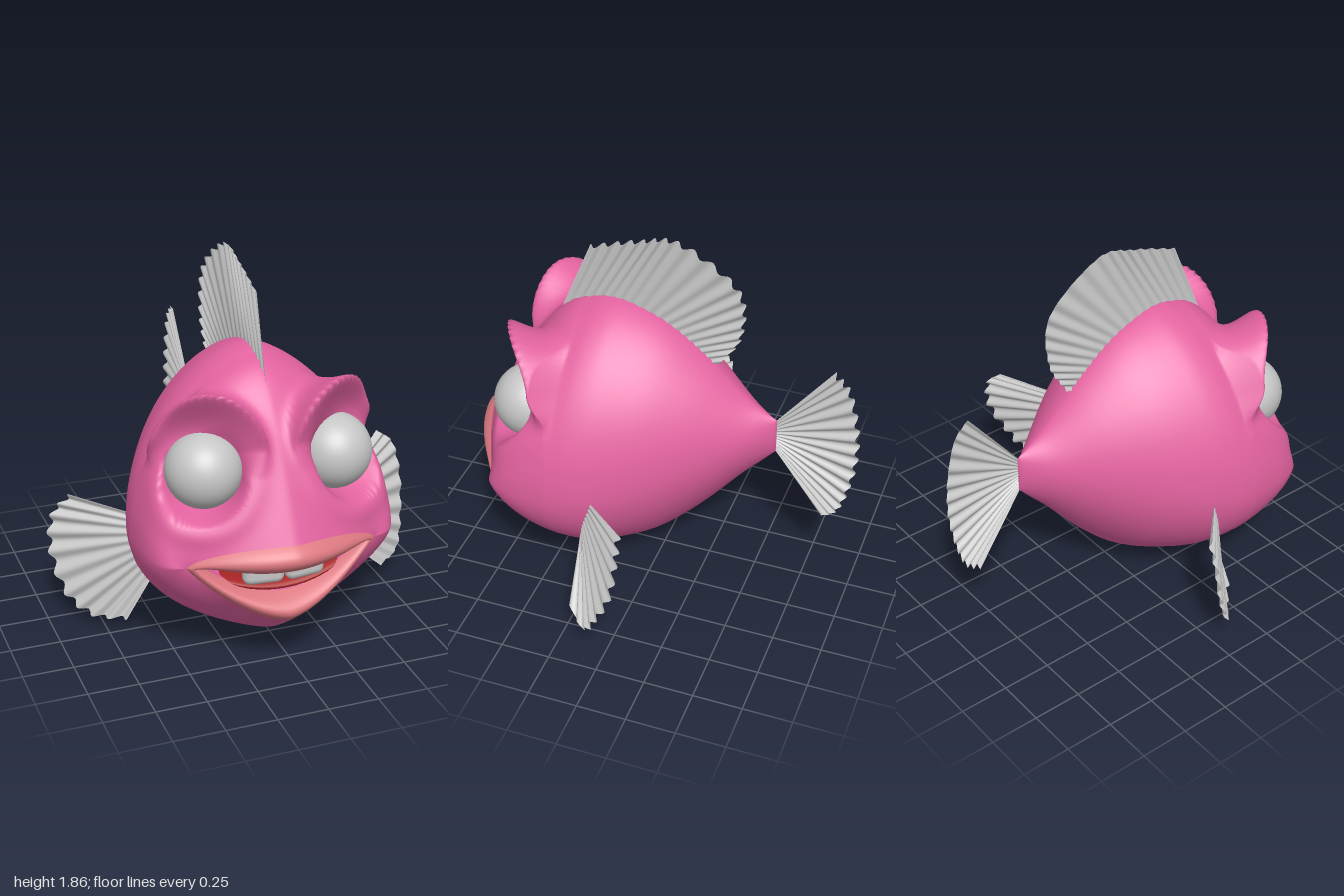
import * as THREE from 'three';
import { RoundedBoxGeometry } from 'three/addons/geometries/RoundedBoxGeometry.js';

const V = (x, y, z) => new THREE.Vector3(x, y, z);
const mat = (name, color, side = THREE.FrontSide) => {
  const m = new THREE.MeshStandardMaterial({ color, side });
  m.name = name;
  return m;
};
const CX = -0.05; // the body's own middle line
const N = 160;    // points around each ring
const spline = pts => new THREE.CatmullRomCurve3(pts, false, 'catmullrom', 0.5);
const smoothstep = THREE.MathUtils.smoothstep;

// Sections from tail to widest ring: z, half width, widest height, top, bottom
const sections = [
  [-0.57, 0.015, 0.82, 0.92, 0.73], [-0.5, 0.08, 0.82, 0.96, 0.65],
  [-0.4, 0.17, 0.8, 1.03, 0.54], [-0.2, 0.34, 0.75, 1.22, 0.3],
  [0, 0.48, 0.69, 1.37, 0.11], [0.2, 0.58, 0.64, 1.45, 0.015],
  [0.32, 0.62, 0.62, 1.46, 0], [0.42, 0.635, 0.61, 1.435, 0.018],
];
const widths = spline(sections.map(s => V(s[1], s[2], s[0])));
const heights = spline(sections.map(s => V(s[3], s[4], s[0])));

// Egg-shaped section, round at the sides and narrowing to top and bottom
function bodyPoint(u, t) {
  const a = widths.getPoint(u), h = heights.getPoint(u);
  const c = Math.cos(t), s = Math.sin(t);
  const e = 1.45 - 0.15 * s, reach = s > 0 ? h.x - a.y : a.y - h.y;
  return V(CX + a.x * Math.sign(c) * Math.abs(c) ** e, a.y + reach * s, a.z);
}

// Outer edge of the lips and edge of the mouth opening
function lipOuter(t) {
  const u = Math.abs(Math.cos(t)), up = Math.sin(t) > 0;
  const y = up ? 0.585 + 0.115 * (1 - u * u) ** 0.7 : 0.585 - 0.305 * (1 - u ** 1.6) ** 0.9;
  const z = up ? 0.78 + 0.17 * (1 - u ** 1.35) : 0.78 + 0.1 * (1 - u ** 1.5) ** 1.5;
  return V(CX + 0.47 * Math.cos(t), y, z);
}
function lipInner(t) {
  const u = Math.cos(t), k = 1 - u * u, up = Math.sin(t) > 0;
  return V(CX + 0.4 * u, up ? 0.58 - 0.025 * k : 0.58 - 0.17 * k, up ? 0.77 + 0.15 * k : 0.77 + 0.05 * k * k);
}

// Eye sockets, soft lids and heavy brows pressed into the face
const eyes = [-1, 1].map(side => ({
  side, centre: V(CX + side * 0.325, 0.987, 0.605), axis: V(side * 0.4, 0, 0.92).normalize(),
}));
function shapeSockets(p) {
  for (const { centre, axis } of eyes) {
    const rel = p.clone().sub(centre), depth = rel.dot(axis);
    if (depth < -0.22) continue;
    const flat = rel.addScaledVector(axis, -depth), d = flat.length();
    const inside = 1 - smoothstep(d, 0.15, 0.215);
    const up = Math.max(0, flat.y / (d + 1e-6));
    const band = Math.exp(-(((d - 0.25) / 0.055) ** 2)) * smoothstep(depth, -0.22, -0.05);
    const brow = Math.max(0, 0.085 * up - depth) * band * smoothstep(up, 0, 0.6);
    p.addScaledVector(axis, Math.min(0, -0.01 - depth) * inside + brow + 0.015 * band);
    p.addScaledVector(flat, (0.2 * up * band) / (d + 0.1));
    p.y += 0.02 * up * band;
  }
  return p;
}

// Face sweeps from the widest ring in to the lips
function facePoint(s, t) {
  const up = Math.sin(t), side = Math.cos(t), a = bodyPoint(1, t), d = lipOuter(t);
  const b = a.clone().add(V(0, -0.05 * up, 0.2 + 0.1 * side ** 4));
  const c = d.clone().add(V(0.03 * side + 0.07 * side ** 5, up * (up > 0 ? 0.3 : 0.08), -Math.abs(up) * (up > 0 ? 0.15 : 0.1)));
  return shapeSockets(new THREE.CubicBezierCurve3(a, b, c, d).getPoint(s));
}
function lipPoint(s, t) {
  const a = lipOuter(t), c = lipInner(t), k = Math.sin(t) ** 2;
  const b = a.clone().lerp(c, 0.5).add(V(0, 0, 0.06 + 0.07 * k));
  return new THREE.QuadraticBezierCurve3(a, b, c).getPoint(s);
}

// Skin a surface over closed rings
function loft(rows, at) {
  const pos = [], index = [];
  for (let k = 0; k <= rows; k++) {
    for (let i = 0; i < N; i++) {
      pos.push(...at(k / rows, (i / N) * Math.PI * 2, k).toArray());
      if (k === rows) continue;
      const a = k * N + i, b = k * N + ((i + 1) % N);
      index.push(a, b, a + N, b, b + N, a + N);
    }
  }
  return surface(pos, index);
}
function surface(pos, index) {
  const g = new THREE.BufferGeometry();
  g.setAttribute('position', new THREE.Float32BufferAttribute(pos, 3));
  g.setIndex(index);
  g.computeVertexNormals();
  return g;
}

// Pleated fan between a root curve and a tip curve
function finGeometry(root, tip, pleats, depth) {
  const a = spline(root), b = spline(tip), cols = pleats * 8, rows = 8, pos = [], index = [];
  for (let i = 0; i <= cols; i++) {
    const u = i / cols, wave = Math.cos(u * pleats * Math.PI * 2);
    const p = a.getPoint(u), q = b.getPoint(u);
    const ray = q.clone().sub(p);
    const normal = ray.clone().cross(b.getTangent(u)).normalize();
    q.addScaledVector(ray.normalize(), 0.01 * wave);
    for (let j = 0; j <= rows; j++) {
      const v = j / rows;
      pos.push(...p.clone().lerp(q, v).addScaledVector(normal, wave * depth * (0.25 + 0.75 * v)).toArray());
      if (i === cols || j === rows) continue;
      const k = i * (rows + 1) + j, n = k + rows + 1;
      index.push(k, n, k + 1, n, n + 1, k + 1);
    }
  }
  return surface(pos, index);
}

export function createModel() {
  const model = new THREE.Group();
  model.name = 'fish';
  const pink = mat('pink skin', 0xe2629f);
  const salmon = mat('salmon lips', 0xdc7880);
  const red = mat('red tongue', 0xa82424);
  const white = mat('pale eyes and teeth', 0xc6c6c6);
  const finMat = mat('pale fins', 0xcacaca, THREE.DoubleSide);
  const add = (name, geometry, material) => {
    const m = new THREE.Mesh(geometry, material);
    m.name = name;
    model.add(m);
    return m;
  };

  // Body: closed tail end, trunk rings, then face rings
  const trunk = 36, face = 80;
  add('body', loft(trunk + face, (s, t, k) => {
    if (k === 0) return V(CX, 0.82, -0.57);
    return k <= trunk ? bodyPoint((k - 1) / (trunk - 1), t) : facePoint((k - trunk) / face, t);
  }), pink);
  add('lips', loft(12, lipPoint), salmon);
  add('mouthInside', loft(8, (s, t) => {
    const r = Math.sqrt(1 - s * s), p = lipInner(t);
    return V(CX + (p.x - CX) * r, 0.5 + (p.y - 0.5) * r, p.z + (0.55 - p.z) * s);
  }), pink);

  // Tongue: flat ellipsoid curling up at both ends
  const tongue = new THREE.SphereGeometry(1, 40, 20).scale(0.37, 0.035, 0.14);
  const tp = tongue.attributes.position;
  for (let i = 0; i < tp.count; i++) {
    const k = (tp.getX(i) / 0.37) ** 2;
    tp.setY(i, tp.getY(i) + 0.09 * k);
    tp.setZ(i, tp.getZ(i) + 0.02 * k);
  }
  tongue.computeVertexNormals();
  add('tongue', tongue, red).position.set(CX, 0.43, 0.69);

  for (const side of [-1, 1]) {
    const tooth = add(side < 0 ? 'rightTooth' : 'leftTooth', new RoundedBoxGeometry(0.2, 0.17, 0.08, 6, 0.039), white);
    tooth.position.set(CX + side * 0.102, 0.54, 0.8);
    tooth.rotation.y = side * 0.12;
  }
  for (const { side, centre } of eyes) {
    add(side < 0 ? 'rightEye' : 'leftEye', new THREE.SphereGeometry(0.183, 48, 32), white).position.copy(centre);
  }

  // Back and tail fins lie close to the middle plane
  const mid = pts => pts.map(([z, y]) => V(CX + Math.max(0, y - 1.4) * 0.04, y, z));
  add('dorsalFin', finGeometry(
    mid([[0.57, 1.32], [0.33, 1.42], [0.1, 1.38], [-0.08, 1.28], [-0.22, 1.17]]),
    mid([[0.4, 1.73], [0.15, 1.81], [-0.06, 1.84], [-0.35, 1.64], [-0.37, 1.38], [-0.27, 1.19]]), 18, 0.009), finMat);
  add('tailFin', finGeometry(
    mid([[-0.56, 0.91], [-0.56, 0.82], [-0.56, 0.74]]),
    mid([[-0.84, 1.27], [-0.92, 1.18], [-0.97, 0.98], [-0.98, 0.78], [-0.95, 0.58], [-0.9, 0.43], [-0.82, 0.37]]), 14, 0.011), finMat);

  // Side fins sweep out and back
  add('leftFin', finGeometry(
    [V(0.53, 0.62, 0.2), V(0.5, 0.48, 0.26), V(0.44, 0.36, 0.29)],
    [V(0.82, 0.73, -0.06), V(0.92, 0.64, -0.08), V(0.96, 0.46, -0.06), V(0.93, 0.26, 0.03), V(0.87, 0.12, 0.12), V(0.72, 0.12, 0.26)],
    10, 0.013), finMat);
  add('rightFin', finGeometry(
    [V(-0.62, 0.62, 0.2), V(-0.59, 0.46, 0.26), V(-0.52, 0.32, 0.29)],
    [V(-0.85, 0.65, -0.03), V(-0.94, 0.54, -0.06), V(-0.96, 0.35, -0.04), V(-0.91, 0.15, 0.05), V(-0.8, 0.06, 0.15), V(-0.66, 0.08, 0.28)],
    10, 0.013), finMat);
  return model;
}
